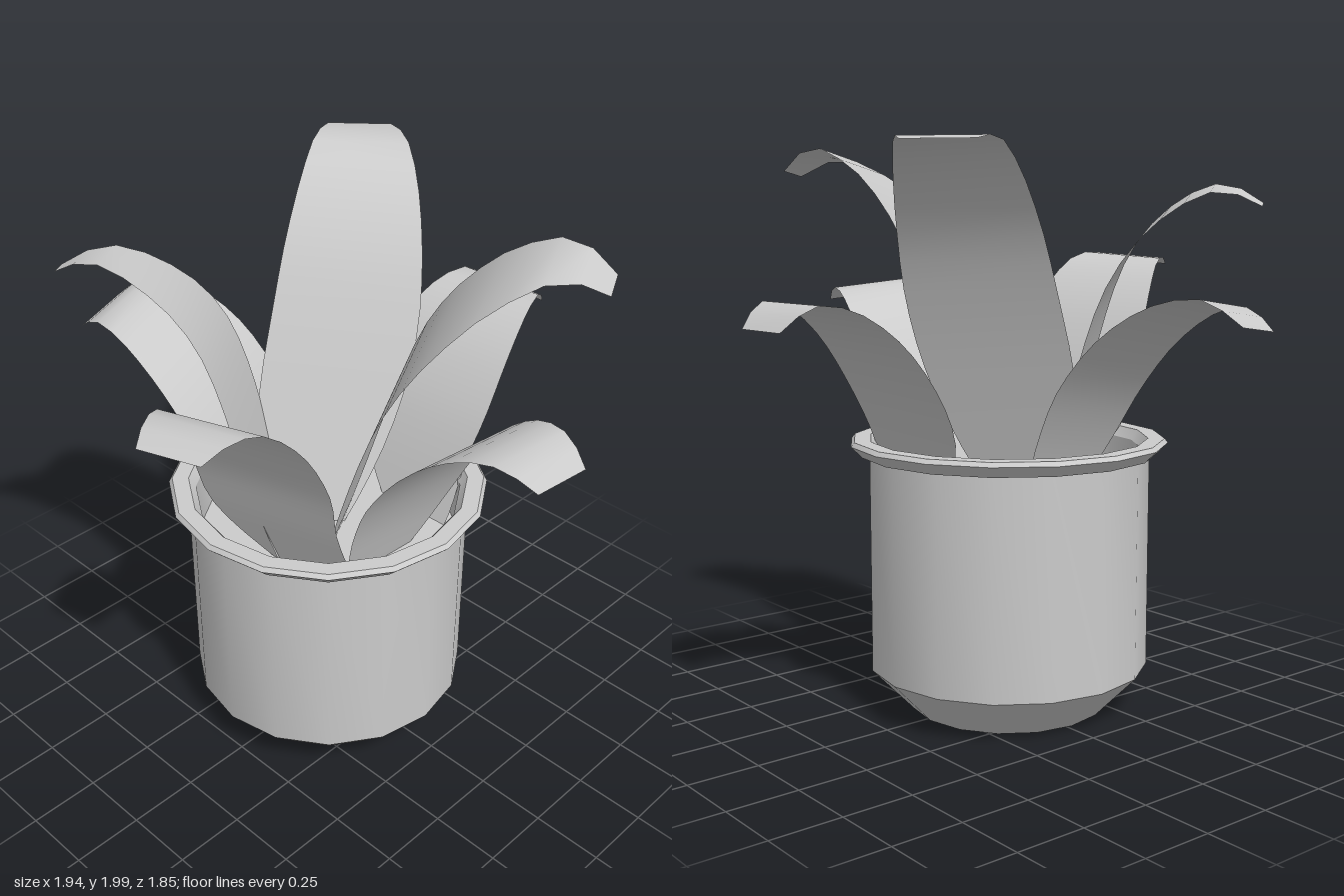
import * as THREE from 'three';
import { toCreasedNormals } from 'three/addons/utils/BufferGeometryUtils.js';

const SIDES = 16;
const potMaterial = new THREE.MeshStandardMaterial({ color: 0xcccccc });
const leafMaterial = new THREE.MeshStandardMaterial({ color: 0xcccccc, side: THREE.DoubleSide });
const vec = (x, y, z) => new THREE.Vector3(x, y, z);

// Half-width of a leaf: swells from the base, then narrows to a blunt tip
function halfWidth(t, tip) {
  const widest = 0.4;
  return t < widest
    ? 0.262 - 0.122 * (1 - t / widest) ** 2
    : 0.262 - (0.262 - tip) * ((t - widest) / (1 - widest)) ** 2;
}

// A thin strip that follows a spine, widened along the direction 'across'
function makeLeaf(name, spine, across, tip = 0.115, scale = 1) {
  const rows = 16;
  const curve = new THREE.CatmullRomCurve3(spine);
  across.normalize();
  const geometry = new THREE.PlaneGeometry(1, 1, 1, rows);
  for (let r = 0; r <= rows; r++) {
    const t = r / rows;
    const w = halfWidth(t, tip) * scale;
    [-w, w].forEach((offset, c) => {
      const p = curve.getPointAt(t).addScaledVector(across, offset);
      geometry.attributes.position.setXYZ(r * 2 + c, p.x, p.y, p.z);
    });
  }
  geometry.computeVertexNormals();
  const mesh = new THREE.Mesh(geometry, leafMaterial);
  mesh.name = name;
  return mesh;
}

// A low leaf arches from the rim in one upright plane; all share the same arch
function makeLowLeaf(name, root, foot, tip, peak, roll) {
  const arch = [[0.15, 0.38], [0.38, 0.75], [0.64, 0.97], [0.84, 1]].map(([reach, rise]) => {
    const p = foot.clone().lerp(tip, reach);
    p.y = THREE.MathUtils.lerp(foot.y, peak, rise);
    return p;
  });
  const heading = tip.clone().sub(foot).setY(0).normalize();
  return makeLeaf(name, [root, foot, ...arch, tip], vec(heading.z, roll, -heading.x));
}

function makePot() {
  // Chamfered foot, flared rim and hollow inside
  const profile = [
    [0, 0], [0.35, 0], [0.5, 0.155], [0.5, 0.92], [0.525, 0.92], [0.565, 0.96],
    [0.553, 0.975], [0.495, 0.975], [0.47, 0.94], [0.46, 0.74],
  ].map(([r, y]) => new THREE.Vector2(r, y));
  const wall = new THREE.Mesh(
    toCreasedNormals(new THREE.LatheGeometry(profile, SIDES), 0.5), potMaterial);
  wall.name = 'pot';

  // Soil disc inside the pot
  const soil = new THREE.Mesh(new THREE.CircleGeometry(0.463, SIDES), potMaterial);
  soil.name = 'soil';
  soil.rotation.x = -Math.PI / 2;
  soil.position.y = 0.77;

  const group = new THREE.Group();
  group.name = 'filledPot';
  group.position.set(-0.02, 0, 0.02);
  group.add(wall, soil);
  return group;
}

export function createModel() {
  const leaves = new THREE.Group();
  leaves.name = 'leaves';

  // Low leaves, one to each side
  leaves.add(
    makeLowLeaf('frontLeaf', vec(0.14, 0.75, 0.235), vec(0.06, 1, 0.355), vec(0.2, 1.57, 0.885), 1.6, 0.06),
    makeLowLeaf('backLeaf', vec(0.14, 0.75, -0.26), vec(0.05, 1, -0.35), vec(0.04, 1.39, -0.93), 1.47, 0),
    makeLowLeaf('leftLeaf', vec(0.25, 0.75, 0.05), vec(0.335, 1, 0.01), vec(0.96, 1.43, 0.02), 1.485, -0.08),
    makeLowLeaf('rightLeaf', vec(-0.22, 0.75, 0.03), vec(-0.31, 1, 0.09), vec(-0.945, 1.395, 0.27), 1.47, -0.12),
  );

  // Tall leaves rising from the middle
  leaves.add(
    makeLeaf('tallBackLeaf', [
      vec(-0.1, 0.75, 0.07), vec(-0.16, 1.44, -0.2), vec(-0.22, 1.71, -0.31),
      vec(-0.31, 1.9, -0.43), vec(-0.41, 1.98, -0.54), vec(-0.53, 1.965, -0.66),
    ], vec(0.75, 0, -0.66)),
    makeLeaf('tallLeftLeaf', [
      vec(0.07, 0.75, 0.1), vec(0.31, 1.55, -0.01), vec(0.49, 1.82, -0.09),
      vec(0.61, 1.93, -0.17), vec(0.73, 1.98, -0.25), vec(0.835, 1.905, -0.33),
    ], vec(0.44, -0.14, 0.88), 0.06),
    makeLeaf('tallRightLeaf', [
      vec(-0.06, 0.75, 0.2), vec(-0.29, 1.56, 0.29), vec(-0.41, 1.77, 0.42),
      vec(-0.54, 1.845, 0.54), vec(-0.65, 1.785, 0.62),
    ], vec(0.6, 0.15, 0.78), 0.05, 0.87),
  );

  const model = new THREE.Group();
  model.name = 'pottedPlant';
  model.add(makePot(), leaves);
  return model;
}
